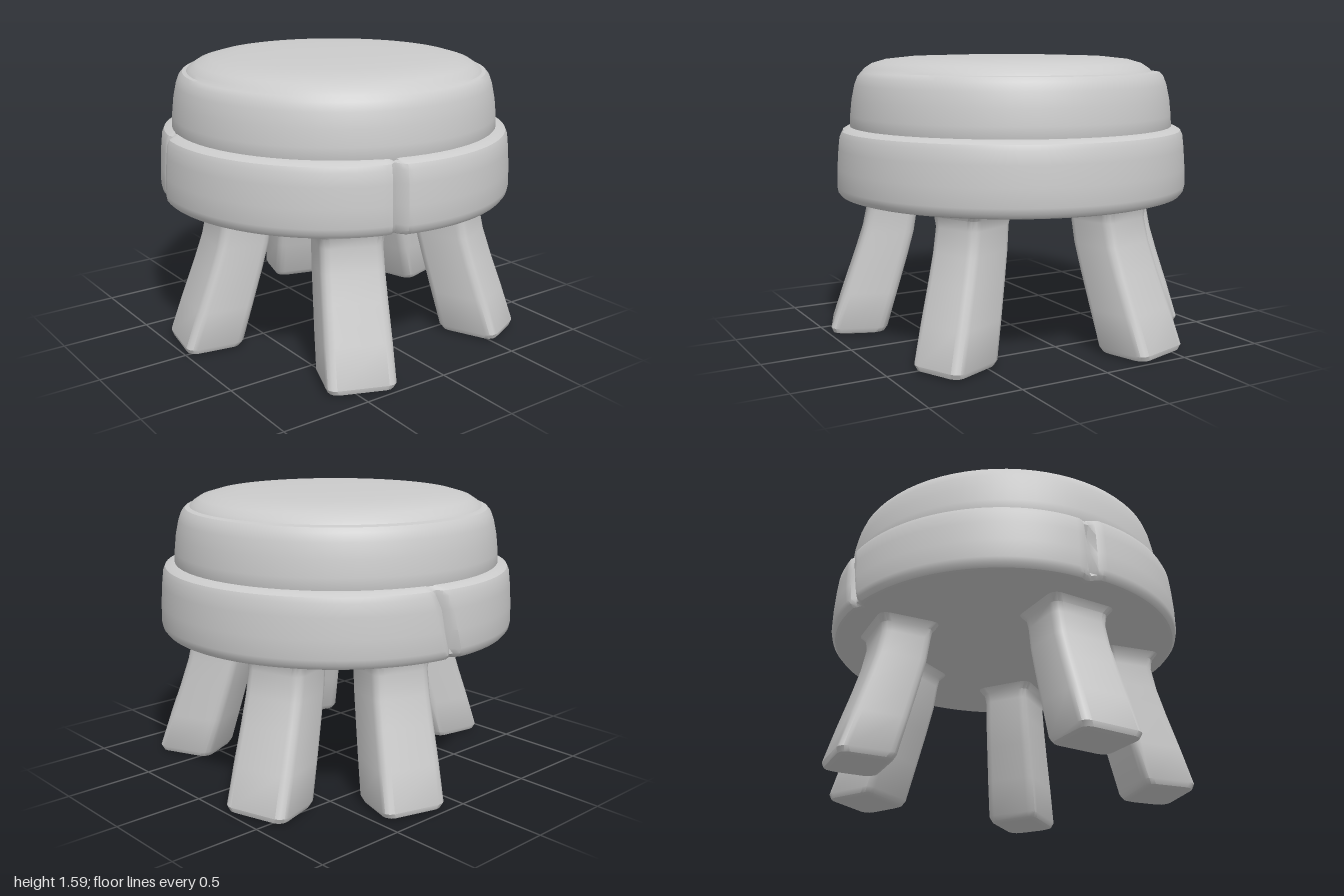
import * as THREE from 'three';
import { mergeVertices, toCreasedNormals } from 'three/addons/utils/BufferGeometryUtils.js';

const material = new THREE.MeshStandardMaterial({ color: 0xcccccc });
const deg = Math.PI / 180;

// Solid of revolution with welded seam, reshaped by a rule on each vertex
function turned(name, profile, segments, rule) {
  let geo = new THREE.LatheGeometry(profile.map(([r, y]) => new THREE.Vector2(r, y)), segments);
  geo.deleteAttribute('uv');
  geo.deleteAttribute('normal');
  const pos = geo.attributes.position;
  const v = new THREE.Vector3();
  for (let i = 0; i < pos.count; i++) {
    rule(v.fromBufferAttribute(pos, i));
    pos.setXYZ(i, v.x, v.y, v.z);
  }
  geo = toCreasedNormals(mergeVertices(geo, 1e-4), 32 * deg);
  const mesh = new THREE.Mesh(geo, material);
  mesh.name = name;
  return mesh;
}

// The crown of the cushion sits slightly off centre
function shiftCrown(v) {
  if (v.y < 1.512) return;
  v.x -= 0.012;
  v.z += 0.018;
}

// Seams split the band into three pieces: angle, set-back of one side, lean
const seams = [[106, 0.025, 0], [193.5, 0.028, 0], [281, 0.008, 17]];
function cutSeams(v) {
  const r = Math.hypot(v.x, v.z);
  if (r < 0.93) return;
  const angle = Math.atan2(v.z, v.x) / deg;
  let inset = 0;
  for (const [seam, step, lean] of seams) {
    const d = ((angle - seam + lean * (1.2 - v.y) + 540) % 360) - 180;
    inset += 0.035 * Math.max(0, 1 - Math.abs(d) / 2.2);
    if (d > 0) inset += step * Math.exp(-d / 12);
  }
  v.x *= (r - inset) / r;
  v.z *= (r - inset) / r;
}

// Rounded rectangle outline: [across, outward] points
function outline(halfW, halfD, radius) {
  const pts = [];
  [[1, 1], [-1, 1], [-1, -1], [1, -1]].forEach(([sx, sy], k) => {
    for (let j = 0; j <= 3; j++) {
      const a = (k + j / 3) * Math.PI / 2;
      pts.push([sx * (halfW - radius) + radius * Math.cos(a), sy * (halfD - radius) + radius * Math.sin(a)]);
    }
  });
  return pts;
}

// Leg sections from foot to top: height, splay (1 at the foot), inset from full width
const legSections = [
  [0.012, 1, 0.035],
  [0.022, 1, 0.013],
  [0.05, 0.98, 0],
  [0.25, 0.67, 0.004],
  [0.45, 0.35, 0.01],
  [0.6, 0.13, 0.014],
  [0.73, 0.01, 0.017],
  [0.785, 0, 0.01],
  [0.83, 0, -0.022],
];

function makeLeg({ foot, top, yaw, halfW, halfD }) {
  const positions = [];
  const index = [];
  const n = 16;
  const c = Math.cos(yaw * deg), s = Math.sin(yaw * deg);
  for (const [y, splay, inset] of legSections) {
    const x = THREE.MathUtils.lerp(top[0], foot[0], splay);
    const z = THREE.MathUtils.lerp(top[1], foot[1], splay);
    for (const [across, out] of outline(halfW - inset, halfD - inset, 0.05)) {
      positions.push(x + out * c + across * s, y, z + out * s - across * c);
    }
  }
  const last = legSections.length - 1;
  for (let row = 0; row < last; row++) {
    for (let i = 0; i < n; i++) {
      const a = row * n + i, b = row * n + (i + 1) % n;
      index.push(a, a + n, b, b, a + n, b + n);
    }
  }
  // Sole of the foot
  for (let i = 1; i < n - 1; i++) index.push(0, i, i + 1);
  const geo = new THREE.BufferGeometry();
  geo.setAttribute('position', new THREE.Float32BufferAttribute(positions, 3));
  geo.setIndex(index);
  const mesh = new THREE.Mesh(toCreasedNormals(geo, 38 * deg), material);
  mesh.name = 'leg';
  return mesh;
}

// Five splayed legs: foot and top centres as [x, z], facing angle, half sizes
const legSpecs = [
  { foot: [-0.42, 0.79], top: [-0.345, 0.6], yaw: 112, halfW: 0.187, halfD: 0.16 },
  { foot: [0.565, 0.645], top: [0.445, 0.48], yaw: 66, halfW: 0.16, halfD: 0.175 },
  { foot: [0.8, -0.36], top: [0.595, -0.27], yaw: -17, halfW: 0.187, halfD: 0.16 },
  { foot: [0.25, -0.79], top: [0.18, -0.62], yaw: -74, halfW: 0.182, halfD: 0.16 },
  { foot: [-0.81, -0.11], top: [-0.595, -0.075], yaw: 190, halfW: 0.187, halfD: 0.165 },
];

export function createModel() {
  const stool = new THREE.Group();
  stool.name = 'stool';

  // Padded seat with a creased rim and a shallow crowned top
  stool.add(turned('cushion', [
    [0.9, 1.17], [0.915, 1.21], [0.912, 1.27], [0.902, 1.36], [0.885, 1.44], [0.868, 1.485],
    [0.848, 1.508], [0.822, 1.513], [0.808, 1.53], [0.765, 1.558], [0.69, 1.58], [0.55, 1.595],
    [0.3, 1.602], [0, 1.605],
  ], 72, shiftCrown));

  // Wide band around the seat, closed underneath
  stool.add(turned('band', [
    [0, 0.82], [0.9, 0.82], [0.95, 0.82], [0.975, 0.828], [0.992, 0.85], [0.998, 0.88],
    [0.996, 0.98], [0.988, 1.09], [0.98, 1.16], [0.968, 1.187], [0.945, 1.2], [0.9, 1.212], [0.8, 1.212],
  ], 240, cutSeams));

  const legs = new THREE.Group();
  legs.name = 'legs';
  legs.add(...legSpecs.map(makeLeg));
  stool.add(legs);
  return stool;
}
